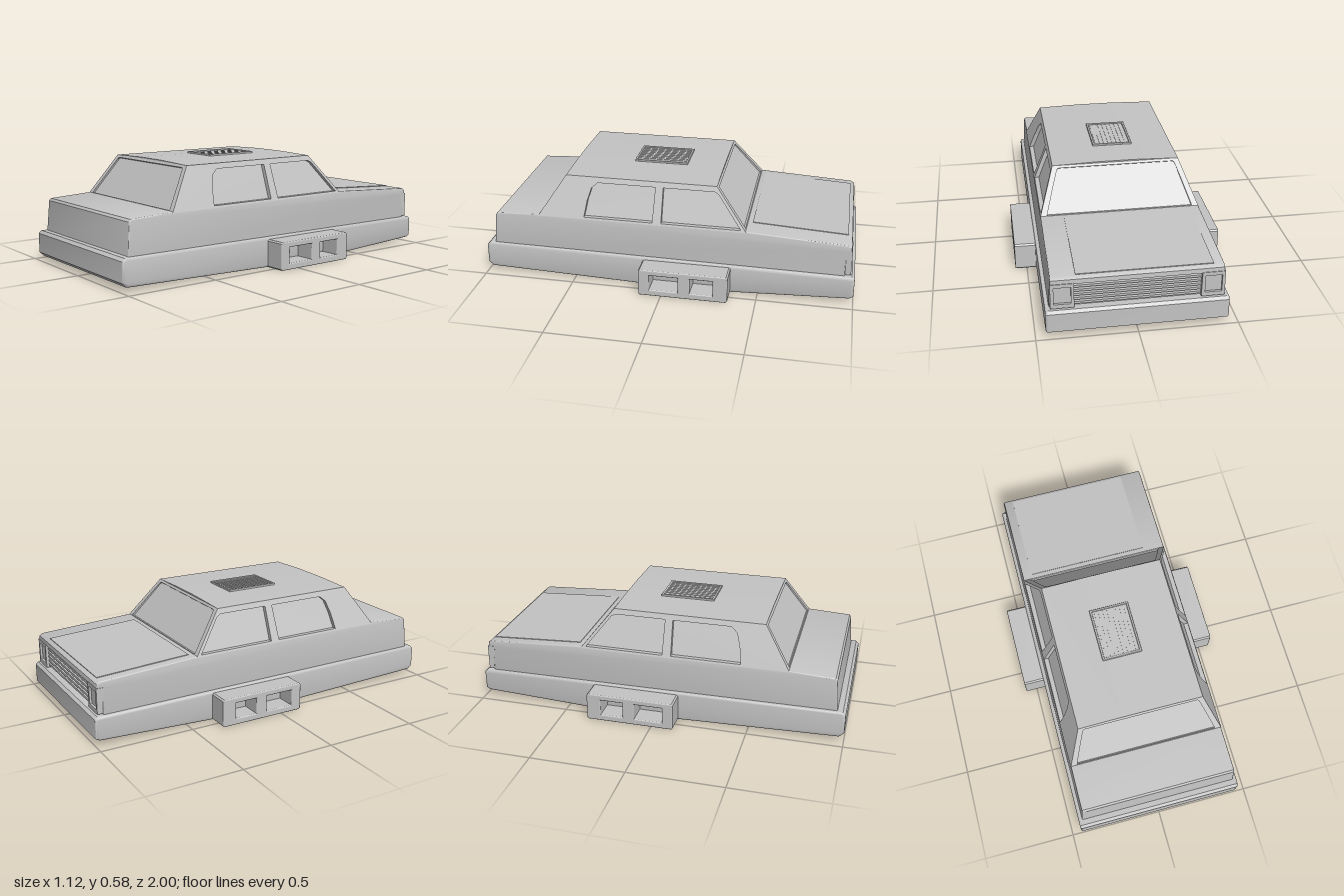
import * as THREE from 'three';
import { toCreasedNormals } from 'three/addons/utils/BufferGeometryUtils.js';
import { RoundedBoxGeometry } from 'three/addons/geometries/RoundedBoxGeometry.js';

const grey = new THREE.MeshStandardMaterial({ color: 0xc4c4c4 });
grey.name = 'plain grey';

const points = (list) => list.map(([a, b]) => new THREE.Vector2(a, b));
const shapeOf = (outline, holes = []) => {
  const shape = new THREE.Shape(points(outline));
  holes.forEach((h) => shape.holes.push(new THREE.Path(points(h))));
  return shape;
};

// Extrude a (z, y) side outline along x between x0 and x1
function sideExtrude(outline, x0, x1, bevel = 0, holes = []) {
  const geo = new THREE.ExtrudeGeometry(shapeOf(outline, holes), {
    depth: x1 - x0 - 2 * bevel, bevelEnabled: bevel > 0, bevelSize: bevel,
    bevelThickness: bevel, bevelOffset: -bevel, bevelSegments: 3,
  });
  return geo.translate(0, 0, bevel - x1).rotateY(-Math.PI / 2);
}

// Move x of every vertex by a rule of x and y
function reshape(geo, rule) {
  const p = geo.attributes.position;
  for (let i = 0; i < p.count; i++) p.setX(i, rule(p.getX(i), p.getY(i)));
  geo.computeVertexNormals();
  return geo;
}

// Half width of the cabin at a height
const cabinHalf = (y) => 0.422 - ((y - 0.355) / 0.215) * 0.084;

export function createModel() {
  const car = new THREE.Group();
  car.name = 'car';
  const add = (name, geo, parent = car) => {
    const mesh = new THREE.Mesh(geo, grey);
    mesh.name = name;
    parent.add(mesh);
    return mesh;
  };
  const box = (name, x0, x1, y0, y1, z0, z1, r = 0) => {
    const size = [x1 - x0, y1 - y0, z1 - z0];
    const geo = r ? new RoundedBoxGeometry(...size, 2, r) : new THREE.BoxGeometry(...size);
    return add(name, geo.translate((x0 + x1) / 2, (y0 + y1) / 2, (z0 + z1) / 2));
  };

  // Wide lower body with rounded edges
  const base = sideExtrude([
    [0.985, 0.175], [-0.985, 0.163], [-1, 0.15], [-1, 0.05], [-0.98, 0.038],
    [-0.35, 0.008], [0.12, 0.008], [0.975, 0.032], [1, 0.055], [1, 0.16],
  ], -0.45, 0.45, 0.012);
  add('lowerBody', toCreasedNormals(base, 0.7));

  // Upper body: boot, waist and bonnet, narrowing slightly upward
  const body = sideExtrude([
    [0.957, 0.16], [0.944, 0.338], [0.934, 0.35], [0.70, 0.362], [-0.43, 0.362], [-0.955, 0.334],
    [-0.973, 0.322], [-0.975, 0.298], [-0.948, 0.292], [-0.948, 0.155],
  ], -0.43, 0.43, 0.006);
  add('upperBody', toCreasedNormals(reshape(body, (x, y) => x * (1 - (y - 0.165) * 0.12)), 0.6));

  // Slightly raised bonnet panel
  add('bonnetPanel', sideExtrude([
    [-0.45, 0.355], [-0.45, 0.3645], [-0.952, 0.338], [-0.952, 0.325],
  ], -0.37, 0.30));

  // Inner cabin block carrying the glass surfaces
  const core = sideExtrude([
    [0.692, 0.35], [0.547, 0.568], [-0.252, 0.568], [-0.42, 0.35],
  ], -1, 1);
  add('cabinGlass', reshape(core, (x, y) => x * (cabinHalf(y) - 0.024)));

  // Side frames with two window openings
  const outline = [[0.70, 0.355], [0.557, 0.57], [-0.26, 0.57], [-0.43, 0.355]];
  const windows = [
    [[0.445, 0.366], [0.432, 0.45], [0.412, 0.515], [0.38, 0.542], [0.066, 0.542], [0.072, 0.366]],
    [[0.024, 0.366], [0.024, 0.542], [-0.25, 0.542], [-0.272, 0.53], [-0.40, 0.366]],
  ];
  for (const side of [1, -1]) {
    const x0 = side > 0 ? -0.03 : 0;
    const frame = sideExtrude(outline, x0, x0 + 0.03, 0, windows);
    add(side > 0 ? 'leftWindowFrame' : 'rightWindowFrame',
      reshape(frame, (x, y) => x + side * cabinHalf(y)));
  }

  // Sloped frames around the two screens
  const screenFrame = (name, y0, z0, y1, z1) => {
    const up = new THREE.Vector3(0, y1 - y0, z1 - z0);
    const h = up.length();
    up.normalize();
    const across = new THREE.Vector3(z0 > 0 ? 1 : -1, 0, 0);
    const out = new THREE.Vector3().crossVectors(across, up);
    const geo = new THREE.ExtrudeGeometry(shapeOf(
      [[-0.422, 0], [0.422, 0], [0.338, h], [-0.338, h]],
      [[[-0.385, 0.012], [-0.317, h - 0.022], [-0.305, h - 0.014],
        [0.305, h - 0.014], [0.317, h - 0.022], [0.385, 0.012]]],
    ), { depth: 0.012, bevelEnabled: false });
    geo.translate(0, 0, -0.012);
    geo.applyMatrix4(new THREE.Matrix4().makeBasis(across, up, out).setPosition(0, y0, z0));
    add(name, geo);
  };
  screenFrame('bootScreenFrame', 0.355, 0.70, 0.57, 0.557);
  screenFrame('bonnetScreenFrame', 0.355, -0.43, 0.57, -0.26);

  // Gently crowned roof
  const roof = new THREE.ExtrudeGeometry(shapeOf([
    [-0.338, 0.56], [0.338, 0.56], [0.336, 0.57], [0.1, 0.577], [-0.1, 0.577], [-0.336, 0.57],
  ]), { depth: 0.817, bevelEnabled: false });
  add('roof', toCreasedNormals(roof.translate(0, 0, -0.26), 0.5));

  // Roof hatch: raised rim with fine slats inside
  box('hatchPanel', -0.11, 0.09, 0.57, 0.5795, -0.05, 0.225);
  for (const x of [-0.12, 0.085]) box('hatchSideRim', x, x + 0.012, 0.57, 0.587, -0.06, 0.235, 0.004);
  for (const z of [-0.06, 0.223]) box('hatchEndRim', -0.12, 0.097, 0.57, 0.587, z, z + 0.012, 0.004);
  for (let i = 0; i < 8; i++) {
    const x = -0.097 + i * 0.0235;
    box('hatchSlat', x, x + 0.012, 0.574, 0.582, -0.05, 0.225);
  }

  // Side boxes with two openings each
  const pod = [[0.12, 0.016], [0.12, 0.15], [0.112, 0.158], [-0.347, 0.158],
    [-0.355, 0.15], [-0.355, 0.016], [-0.347, 0.008], [0.112, 0.008]];
  const rect = (z0, z1) => [[z0, 0.042], [z1, 0.042], [z1, 0.128], [z0, 0.128]];
  for (const side of [1, -1]) {
    const geo = sideExtrude(pod, 0, 0.13, 0.006, [rect(-0.092, 0.062), rect(-0.278, -0.155)]);
    geo.translate(side > 0 ? 0.432 : -0.562, 0, 0);
    add(side > 0 ? 'leftSideBox' : 'rightSideBox', geo);
  }

  // Grille bars between the headlights
  for (let i = 0; i < 5; i++) {
    const y = 0.178 + i * 0.023;
    box('grilleBar', -0.315, 0.315, y, y + 0.012, -0.964, -0.94);
  }

  // Headlight surrounds wrapping the corners
  for (const side of [1, -1]) {
    const rim = new THREE.ExtrudeGeometry(shapeOf(
      [[-0.058, 0.168], [0.058, 0.168], [0.056, 0.302], [-0.058, 0.302]],
      [[[-0.043, 0.19], [-0.043, 0.282], [0.04, 0.282], [0.04, 0.19]]],
    ), { depth: 0.04, bevelEnabled: false });
    add('headlightSurround', rim.translate(side * 0.367, 0, -0.978));
    box('headlight', side * 0.367 - 0.045, side * 0.367 + 0.045, 0.185, 0.287, -0.966, -0.94);
  }
  return car;
}
